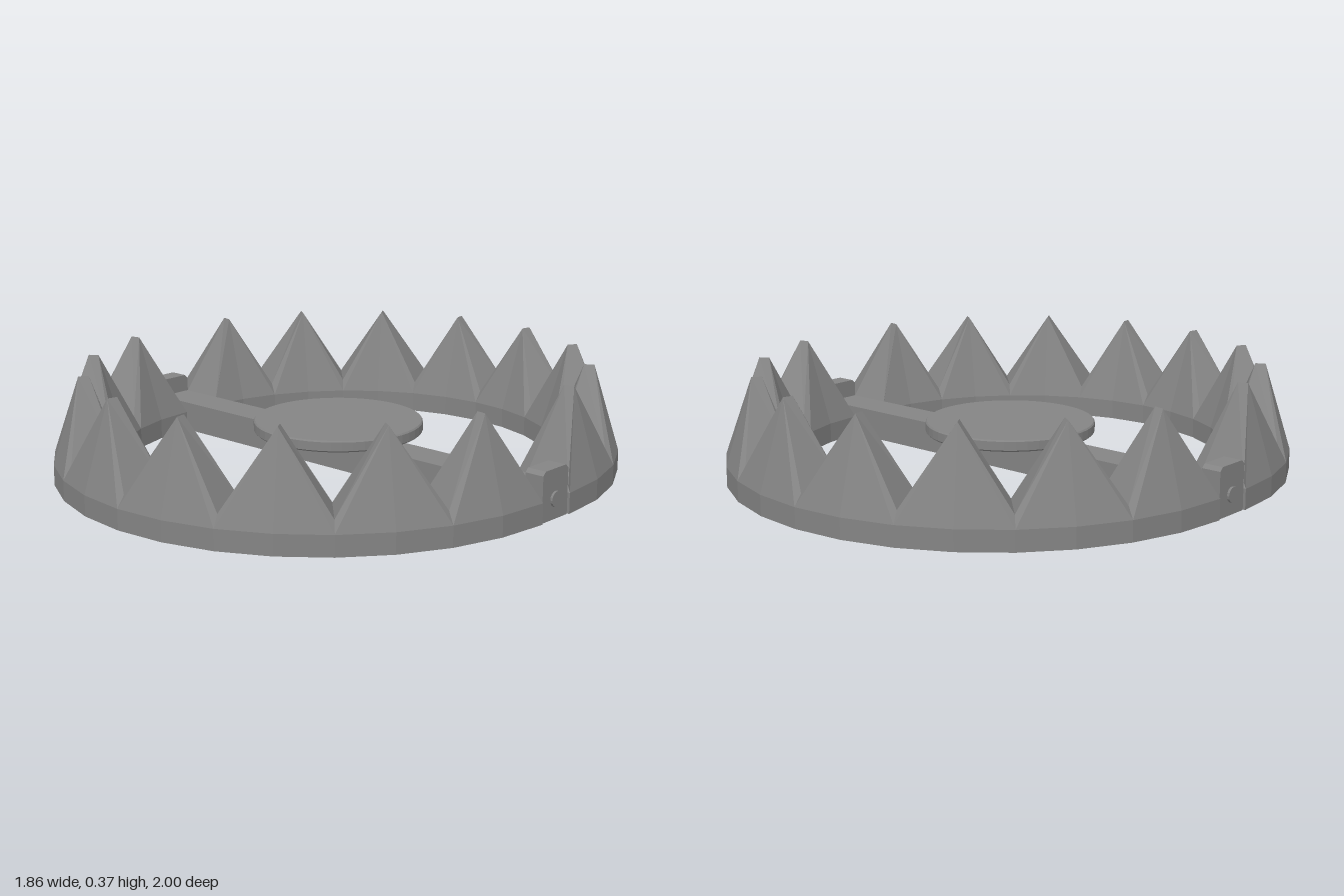
import * as THREE from 'three';

const R_OUT = 0.928, R_IN = 0.708, SPLIT = 0.072;
const RIM_Y = 0.07, VALLEY_Y = 0.108, TIP_Y = 0.37, TEETH = 8;

const material = new THREE.MeshStandardMaterial({ color: 0x848484, flatShading: true });

function addMesh(parent, name, geometry, x = 0, y = 0, z = 0) {
  const mesh = new THREE.Mesh(geometry, material);
  mesh.name = name;
  mesh.position.set(x, y, z);
  parent.add(mesh);
  return mesh;
}

// Half ring with a row of wedge-tipped teeth, two ring segments per tooth
function jawGeometry() {
  const positions = [];
  const tri = (a, b, c) => positions.push(...a, ...b, ...c);
  const quad = (a, b, c, d) => { tri(a, b, c); tri(a, c, d); };
  const count = TEETH * 2;
  const at = (r, y, i, dz = 0) => {
    const t = (Math.PI * i) / count;
    return [r * Math.cos(t), y, SPLIT + r * Math.sin(t) + dz];
  };
  // valley points are inset from the rim, and from the cut ends too
  const valley = (r, i) => (i === 0 || i === count ? at(r, 0.08, i, 0.03) : at(r, VALLEY_Y, i));
  const outer = (i) => at(R_OUT, RIM_Y, i), inner = (i) => at(R_IN, RIM_Y, i);
  const outerLow = (i) => at(R_OUT, 0, i), innerLow = (i) => at(R_IN, 0, i);
  const vOut = (i) => valley(0.9, i), vIn = (i) => valley(0.735, i);

  // teeth
  for (let i = 0; i < count; i += 2) {
    const tipOut = at(0.835, TIP_Y, i + 1), tipIn = at(0.8, TIP_Y, i + 1);
    const fan = (tip, pts) => {
      for (let k = 0; k < pts.length - 1; k++) tri(pts[k], tip, pts[k + 1]);
    };
    fan(tipOut, [vOut(i), outer(i), outer(i + 1), outer(i + 2), vOut(i + 2)]);
    quad(vOut(i + 2), tipOut, tipIn, vIn(i + 2));
    fan(tipIn, [vIn(i + 2), inner(i + 2), inner(i + 1), inner(i), vIn(i)]);
    quad(vIn(i), tipIn, tipOut, vOut(i));
  }
  // rim walls and underside
  for (let i = 0; i < count; i++) {
    quad(outer(i), outer(i + 1), outerLow(i + 1), outerLow(i));
    quad(inner(i + 1), inner(i), innerLow(i), innerLow(i + 1));
    quad(outerLow(i), outerLow(i + 1), innerLow(i + 1), innerLow(i));
  }
  // cut ends
  quad(outer(0), inner(0), vIn(0), vOut(0));
  quad(inner(0), outer(0), outerLow(0), innerLow(0));
  quad(vOut(count), vIn(count), inner(count), outer(count));
  quad(innerLow(count), outerLow(count), outer(count), inner(count));

  const geometry = new THREE.BufferGeometry();
  geometry.setAttribute('position', new THREE.Float32BufferAttribute(positions, 3));
  geometry.computeVertexNormals();
  return geometry;
}

// Upright hinge block with clipped top corners, extruded along x
function hingeGeometry() {
  const w = 0.067, h = 0.167, c = 0.013, depth = 0.068;
  const shape = new THREE.Shape([
    [-w, 0], [w, 0], [w, h - c], [w - c, h], [c - w, h], [-w, h - c],
  ].map(([x, y]) => new THREE.Vector2(x, y)));
  return new THREE.ExtrudeGeometry(shape, { depth, bevelEnabled: false })
    .translate(0, 0, -depth / 2).rotateY(Math.PI / 2);
}

export function createModel() {
  const model = new THREE.Group();
  model.name = 'jawTrap';

  // front and back jaws
  const jaw = jawGeometry();
  addMesh(model, 'frontJaw', jaw);
  addMesh(model, 'backJaw', jaw).rotation.y = Math.PI;

  // base bar
  addMesh(model, 'baseBar', new THREE.BoxGeometry(1.76, 0.105, 0.132), 0, 0.0525, 0);

  // hinge blocks with pivot pins
  const hinge = hingeGeometry();
  const pin = new THREE.CylinderGeometry(0.026, 0.026, 0.02, 16).rotateZ(Math.PI / 2);
  for (const side of [1, -1]) {
    const label = side > 0 ? 'left' : 'right';
    addMesh(model, label + 'Hinge', hinge, side * 0.888, 0, 0);
    addMesh(model, label + 'Pin', pin, side * 0.92, 0.067, 0);
  }

  // round trigger plate with a slightly eased rim
  const profile = [[0, 0.12], [0.29, 0.12], [0.295, 0.125], [0.295, 0.155], [0.291, 0.16], [0, 0.16]]
    .map(([x, y]) => new THREE.Vector2(x, y));
  addMesh(model, 'triggerPlate', new THREE.LatheGeometry(profile, 48));

  return model;
}
